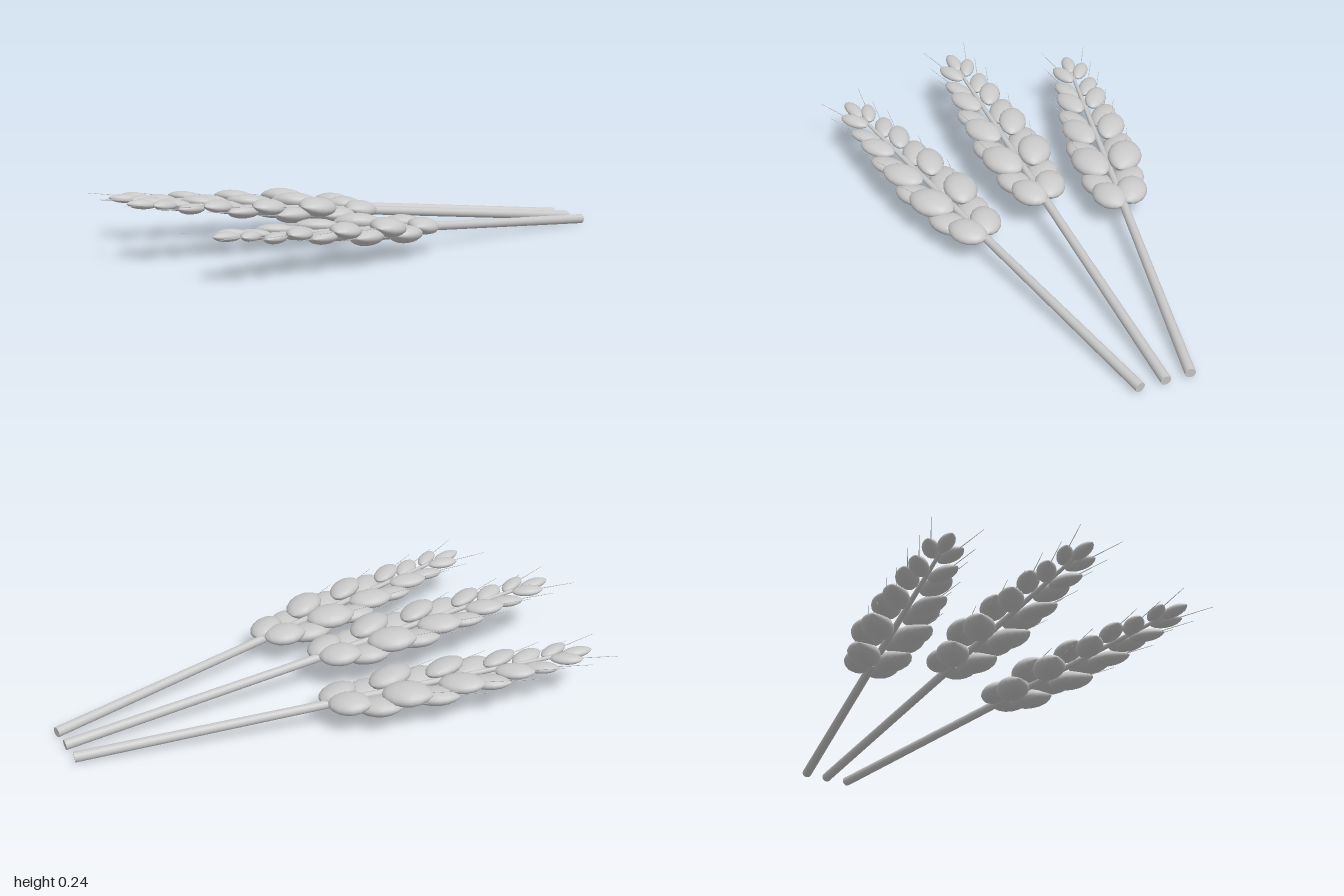
import * as THREE from 'three';

const straw = new THREE.MeshStandardMaterial({ color: 0xc8c8c8 });
straw.name = 'straw grey';

// Grain of unit length along y: rounded at the base, pointed at the tip
function grainGeometry() {
  const profile = [
    [0, -0.5], [0.19, -0.46], [0.34, -0.36], [0.46, -0.2], [0.5, -0.02],
    [0.48, 0.14], [0.39, 0.29], [0.24, 0.41], [0.09, 0.48], [0, 0.5],
  ].map(([r, y]) => new THREE.Vector2(r, y));
  return new THREE.LatheGeometry(profile, 24);
}

const grain = grainGeometry();
const awn = new THREE.CylinderGeometry(0.0008, 0.002, 1, 5).translate(0, 0.5, 0);

function addMesh(parent, name, geometry) {
  const mesh = new THREE.Mesh(geometry, straw);
  mesh.name = name;
  parent.add(mesh);
  return mesh;
}

// Value at u on a line through [u, value] stops
function ramp(stops, u) {
  for (let i = 1; i < stops.length; i++) {
    const [u0, v0] = stops[i - 1];
    const [u1, v1] = stops[i];
    if (u <= u1) return THREE.MathUtils.mapLinear(Math.max(u, u0), u0, u1, v0, v1);
  }
  return stops[stops.length - 1][1];
}

// Grain sizes and places along the ear
const LENGTH = [[0.06, 0.155], [0.28, 0.185], [0.55, 0.165], [0.92, 0.115]];
const WIDTH = [[0.06, 0.115], [0.28, 0.13], [0.55, 0.1], [0.92, 0.055]];
const DEPTH = [[0.06, 0.062], [0.28, 0.07], [0.55, 0.05], [0.92, 0.034]];
const OFFSET = [[0.06, 0.045], [0.28, 0.072], [0.55, 0.066], [0.92, 0.036]];
const LIFT = [[0.06, 0.012], [0.28, 0.018], [0.55, 0.01], [0.92, 0.003]];

// Ear along +y: x is sideways, z is the upper face
function createEar() {
  const ear = new THREE.Group();
  ear.name = 'ear';
  for (const side of [1, -1]) {
    for (let i = 0; i < 9; i++) {
      // Grains on each side sit alternately higher and lower
      const face = i % 2 ? -1 : 1;
      const u = 0.062 + 0.102 * i + (side > 0 ? 0.02 : 0);
      const x = side * ramp(OFFSET, u);
      const z = face * ramp(LIFT, u);

      const kernel = addMesh(ear, 'grain', grain);
      kernel.position.set(x, u, z);
      kernel.rotation.set(0, side * face * 0.12, -side * 0.47, 'ZXY');
      kernel.scale.set(ramp(WIDTH, u), ramp(LENGTH, u), ramp(DEPTH, u));

      // Fine bristle leaving each grain
      const bristle = addMesh(ear, 'bristle', awn);
      bristle.position.set(x, u, z);
      bristle.rotation.z = -side * 0.3;
      bristle.scale.y = 0.185;
    }
  }
  // Grain closing the tip
  const tip = addMesh(ear, 'tipGrain', grain);
  tip.position.set(0, 0.95, 0);
  tip.scale.set(0.055, 0.12, 0.035);
  return ear;
}

// One stalk with its ear, running from the cut end to the ear tip
function createStalk(cutEnd, earTip) {
  const start = new THREE.Vector3(...cutEnd);
  const along = new THREE.Vector3(...earTip).sub(start);
  const total = along.length();
  along.normalize();
  const up = new THREE.Vector3(0, 1, 0);
  const side = new THREE.Vector3().crossVectors(along, up).normalize();
  const normal = new THREE.Vector3().crossVectors(side, along);

  const group = new THREE.Group();
  group.name = 'wheatStalk';
  group.position.copy(start);
  group.quaternion.setFromRotationMatrix(new THREE.Matrix4().makeBasis(side, along, normal));

  const stemLength = total - 1;
  const stem = addMesh(group, 'stem', new THREE.CylinderGeometry(0.016, 0.019, stemLength + 0.1, 16));
  stem.position.y = (stemLength + 0.1) / 2;
  const core = addMesh(group, 'earCore', new THREE.CylinderGeometry(0.006, 0.015, 0.85, 10));
  core.position.y = stemLength + 0.5;

  const ear = createEar();
  ear.position.y = stemLength;
  group.add(ear);
  return group;
}

export function createModel() {
  const model = new THREE.Group();
  model.name = 'wheatBundle';
  const stalks = [
    [[0.9, 0.019, -0.742], [-0.905, 0.17, -0.215]],
    [[0.945, 0.019, -0.662], [-0.785, 0.222, 0.262]],
    [[0.988, 0.019, -0.578], [-0.458, 0.167, 0.637]],
  ];
  for (const [cutEnd, earTip] of stalks) model.add(createStalk(cutEnd, earTip));
  return model;
}
